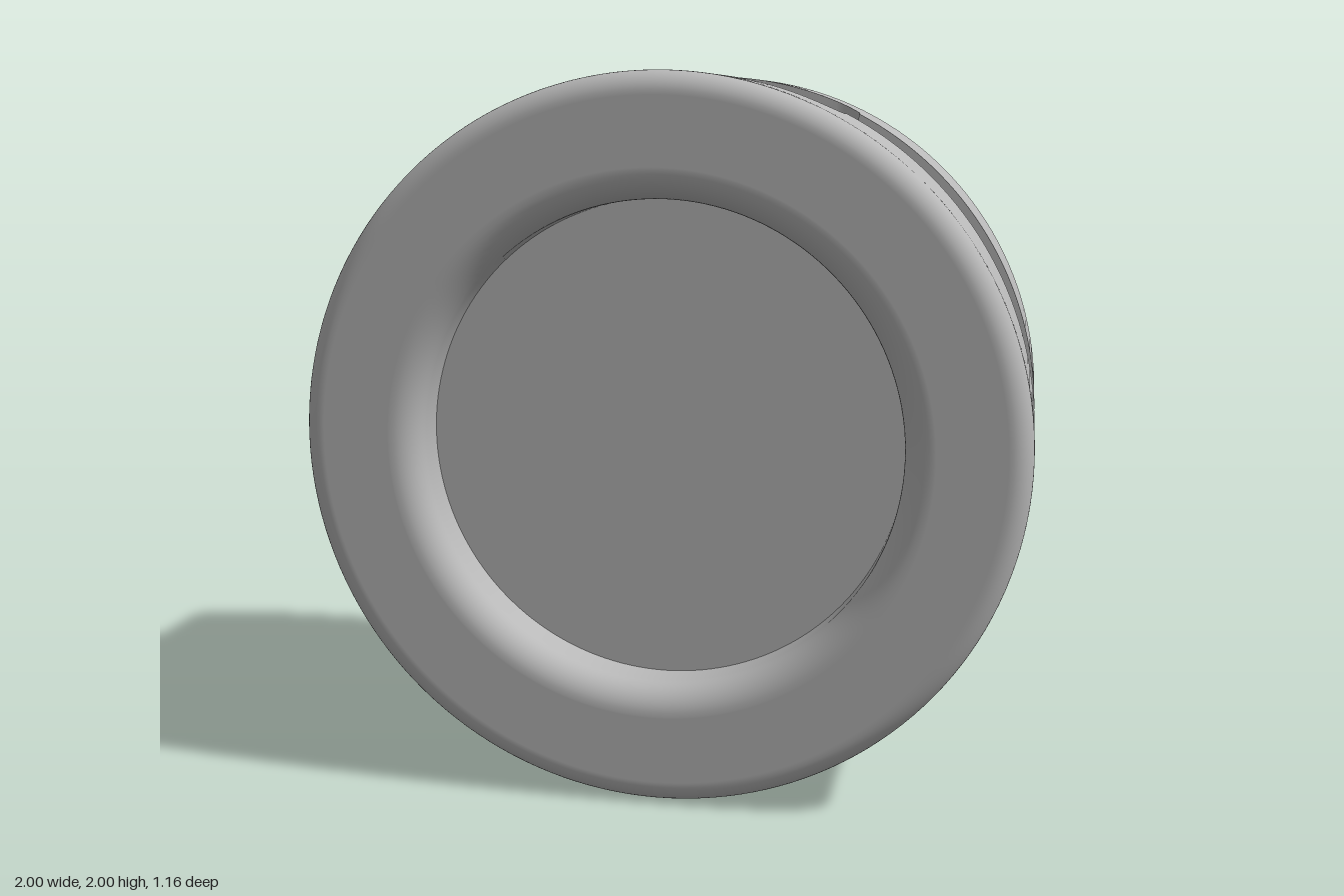
import * as THREE from 'three';
import { toCreasedNormals } from 'three/addons/utils/BufferGeometryUtils.js';

const R = 1, GROOVE_R = 0.955, GROOVE_Z = 0.17;      // rim and central groove
const HALF = 0.58, ROUND = 0.06, SHOULDER_Z = HALF - ROUND;
const RECESS_R = 0.665, LIP = 0.08, RECESS_Z = 0.42; // round recess in each face
const PX = 0.46, PZ = 0.29, PR = 0.08, FLOOR = 0.2;  // pocket in the top

// Grid whose vertices are placed by rule(u, v)
function sheet(nu, nv, rule) {
  const geo = new THREE.PlaneGeometry(1, 1, nu, nv);
  const p = geo.attributes.position;
  for (let i = 0; i < p.count; i++) p.setXYZ(i, ...rule(p.getX(i) + 0.5, p.getY(i) + 0.5));
  geo.computeVertexNormals();
  return geo;
}

// Point on a circle of radius r, skipping the part above the pocket
function openArc(r, u) {
  const a = Math.asin(PX / r);
  const t = a + u * (2 * Math.PI - 2 * a);
  return [r * Math.sin(t), r * Math.cos(t)];
}

// Half width of the pocket opening at x
function pocketEdge(x) {
  const d = Math.max(0, Math.abs(x) - (PX - PR));
  return PZ - PR + Math.sqrt(Math.max(0, PR * PR - d * d));
}

// Pocket outline as [x, z, top radius], with the steps at the groove
function pocketOutline() {
  const pts = [];
  const corner = (cx, cz, start) => {
    for (let i = 0; i <= 10; i++) {
      const a = start + (i / 10) * Math.PI / 2;
      pts.push([cx + PR * Math.cos(a), cz + PR * Math.sin(a), R]);
    }
  };
  for (const s of [1, -1]) {
    const start = s > 0 ? 0 : Math.PI;
    pts.push([s * PX, -s * GROOVE_Z, R], [s * PX, -s * GROOVE_Z, GROOVE_R]);
    pts.push([s * PX, s * GROOVE_Z, GROOVE_R], [s * PX, s * GROOVE_Z, R]);
    corner(s * (PX - PR), s * (PZ - PR), start);
    for (let i = 1; i < 24; i++) pts.push([s * (PX - PR) * (1 - i / 12), s * PZ, R]);
    corner(-s * (PX - PR), s * (PZ - PR), start + Math.PI / 2);
  }
  return pts;
}

function pocketWallGeometry(outline) {
  const pos = [];
  outline.forEach(([x, z, r], i) => {
    const [x2, z2, r2] = outline[(i + 1) % outline.length];
    if (Math.hypot(x2 - x, z2 - z) < 1e-6) return;
    const t1 = Math.sqrt(r * r - x * x), t2 = Math.sqrt(r2 * r2 - x2 * x2);
    pos.push(x, FLOOR, z, x2, FLOOR, z2, x2, t2, z2);
    pos.push(x, FLOOR, z, x2, t2, z2, x, t1, z);
  });
  const geo = new THREE.BufferGeometry();
  geo.setAttribute('position', new THREE.Float32BufferAttribute(pos, 3));
  return toCreasedNormals(geo, 0.6);
}

// Rounded outer edge, flat ring, rounded lip and recess wall
function faceRingGeometry() {
  const pts = [];
  const arc = (cx, cy, r, a, b) => {
    for (let i = 0; i <= 10; i++) {
      const t = a + (b - a) * i / 10;
      pts.push(new THREE.Vector2(cx + r * Math.cos(t), cy + r * Math.sin(t)));
    }
  };
  arc(R - ROUND, SHOULDER_Z, ROUND, 0, Math.PI / 2);
  pts.push(new THREE.Vector2(R - ROUND - 0.005, HALF));
  pts.push(new THREE.Vector2(RECESS_R + LIP + 0.005, HALF));
  arc(RECESS_R + LIP, HALF - LIP, LIP, Math.PI / 2, Math.PI);
  pts.push(new THREE.Vector2(RECESS_R, RECESS_Z));
  return new THREE.LatheGeometry(pts, 160).rotateX(Math.PI / 2);
}

export function createModel() {
  const model = new THREE.Group();
  const body = new THREE.Group();
  body.name = 'body';
  body.position.y = 1;
  model.add(body);

  const grey = new THREE.MeshStandardMaterial({ color: 0xb8b8b8, side: THREE.DoubleSide });
  grey.name = 'grey';
  const add = (parent, name, geo) => {
    const mesh = new THREE.Mesh(geo, grey);
    mesh.name = name;
    parent.add(mesh);
    return mesh;
  };

  // Two matching halves
  for (const [name, turn] of [['frontHalf', 0], ['backHalf', Math.PI]]) {
    const half = new THREE.Group();
    half.name = name;
    half.rotation.y = turn;
    body.add(half);
    add(half, 'faceRing', faceRingGeometry());
    add(half, 'recessFloor', new THREE.CircleGeometry(RECESS_R, 160)).position.z = RECESS_Z;
    add(half, 'shoulder', sheet(160, 1, (u, v) =>
      [...openArc(R, u), GROOVE_Z + v * (SHOULDER_Z - GROOVE_Z)]));
    add(half, 'shoulderBesidePocket', sheet(80, 1, (u, v) => {
      const x = PX * Math.sin(Math.PI * (u - 0.5));
      const z = pocketEdge(x);
      return [x, Math.sqrt(R * R - x * x), z + v * (SHOULDER_Z - z)];
    }));
    add(half, 'grooveSide', sheet(160, 1, (u, v) =>
      [...openArc(GROOVE_R + v * (R - GROOVE_R), u), GROOVE_Z]));
  }

  // Central groove
  add(body, 'grooveFloor', sheet(160, 1, (u, v) =>
    [...openArc(GROOVE_R, u), (v * 2 - 1) * GROOVE_Z]));

  // Pocket in the top
  const outline = pocketOutline();
  add(body, 'pocketWall', pocketWallGeometry(outline));
  const floorShape = new THREE.Shape(outline.map(([x, z]) => new THREE.Vector2(x, -z)));
  const floor = new THREE.ShapeGeometry(floorShape).rotateX(-Math.PI / 2);
  add(body, 'pocketFloor', floor).position.y = FLOOR;

  return model;
}
